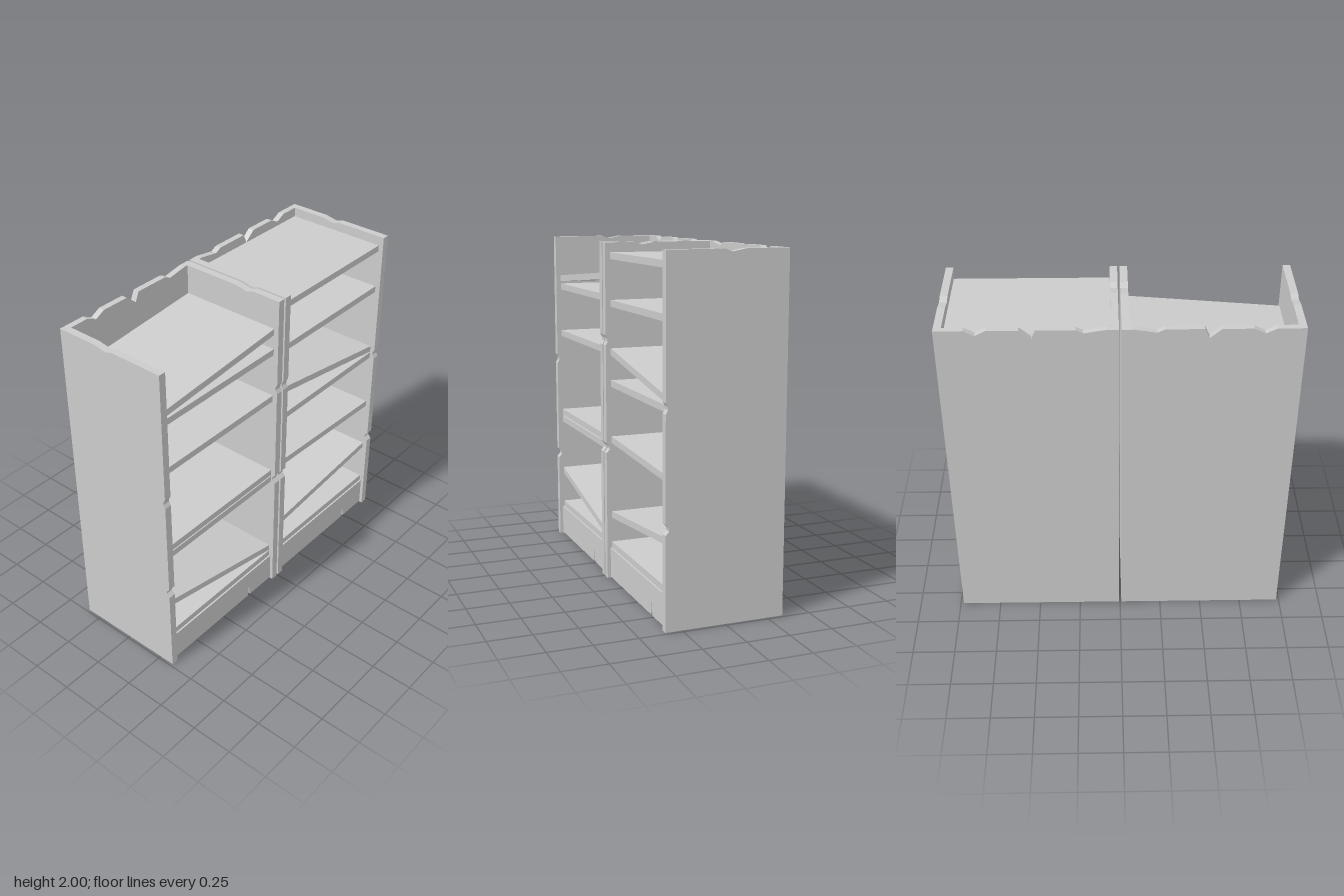
import * as THREE from 'three';

const material = new THREE.MeshStandardMaterial({ color: 0xcccccc, flatShading: true });
const BOARD = 0.043;

// Flat board cut from an outline of [x, y] corners
function board(name, points, depth) {
  const shape = new THREE.Shape(points.map(([x, y]) => new THREE.Vector2(x, y)));
  const geometry = new THREE.ExtrudeGeometry(shape, { depth, bevelEnabled: false });
  const mesh = new THREE.Mesh(geometry, material);
  mesh.name = name;
  return mesh;
}

// Upright with chips [height, depth] in the front edge and one in the top edge
function sidePanel(name, x, chips, topZ) {
  const points = [[-0.345, 0]];
  for (const [y, d] of chips) {
    points.push([-0.345, y - 0.03], [-0.345 + d, y - 0.008], [-0.345 + d * 0.9, y + 0.01], [-0.345, y + 0.03]);
  }
  points.push([-0.345, 2], [-topZ - 0.04, 2], [-topZ, 1.985], [-topZ + 0.08, 2], [0.345, 2], [0.345, 0]);
  const mesh = board(name, points, BOARD);
  mesh.geometry.rotateY(Math.PI / 2);
  mesh.position.x = x;
  return mesh;
}

// One bookcase; shelves are [bottom at left end, bottom at right end]
function bookcase(name, cx, mirror, shelves) {
  const group = new THREE.Group();
  group.name = name;
  group.position.x = cx;
  const half = 0.488, inner = half - BOARD;

  // Uprights, the outer and inner ones worn differently
  const outerChips = [[0.56, 0.02], [1.2, 0.012]];
  const innerChips = [[0.8, 0.02], [1.44, 0.012]];
  group.add(
    sidePanel('leftUpright', inner, mirror > 0 ? innerChips : outerChips, mirror > 0 ? 0.12 : -0.02),
    sidePanel('rightUpright', -half, mirror > 0 ? outerChips : innerChips, mirror > 0 ? -0.02 : 0.12)
  );

  // Back panel with a broken top edge
  const edge = [[-0.33, 2], [-0.27, 1.97], [-0.21, 2], [-0.04, 2], [0.025, 1.945],
    [0.05, 2], [0.26, 2], [0.3, 1.98], [0.42, 2]];
  const jagged = edge.map(([x, y]) => [x * mirror, y]);
  if (mirror < 0) jagged.reverse();
  const back = board('backPanel', [[-inner, 0], [-inner, 2], ...jagged, [inner, 2], [inner, 0]], 0.036);
  back.position.z = -0.345;
  group.add(back);

  // Level and fallen shelves
  for (const [l, r] of shelves) {
    const shelf = board('shelf', [[-inner, l], [inner, r], [inner, r + 0.039], [-inner, l + 0.039]], 0.624);
    shelf.position.z = -0.309;
    group.add(shelf);
  }

  // Plinth with a split at its foot
  const plinth = board('plinth', [[-inner, 0.006], [0.227, 0.006], [0.233, 0.05], [0.237, 0.085],
    [0.241, 0.05], [0.247, 0.006], [inner, 0.006], [inner, 0.186], [-inner, 0.186]], 0.025);
  plinth.position.z = 0.3;
  group.add(plinth);
  return group;
}

export function createModel() {
  const model = new THREE.Group();
  model.name = 'bookcases';
  model.add(
    bookcase('rightBookcase', -0.496, 1, [[1.71, 1.785], [1.657, 1.657], [1.35, 1.35],
      [0.82, 0.82], [0.773, 0.773], [0.42, 0.23], [0.186, 0.186]]),
    bookcase('leftBookcase', 0.494, -1, [[1.905, 1.905], [1.633, 1.633], [1.352, 1.21],
      [1.165, 1.165], [0.83, 0.795], [0.373, 0.46], [0.186, 0.186]])
  );
  return model;
}
